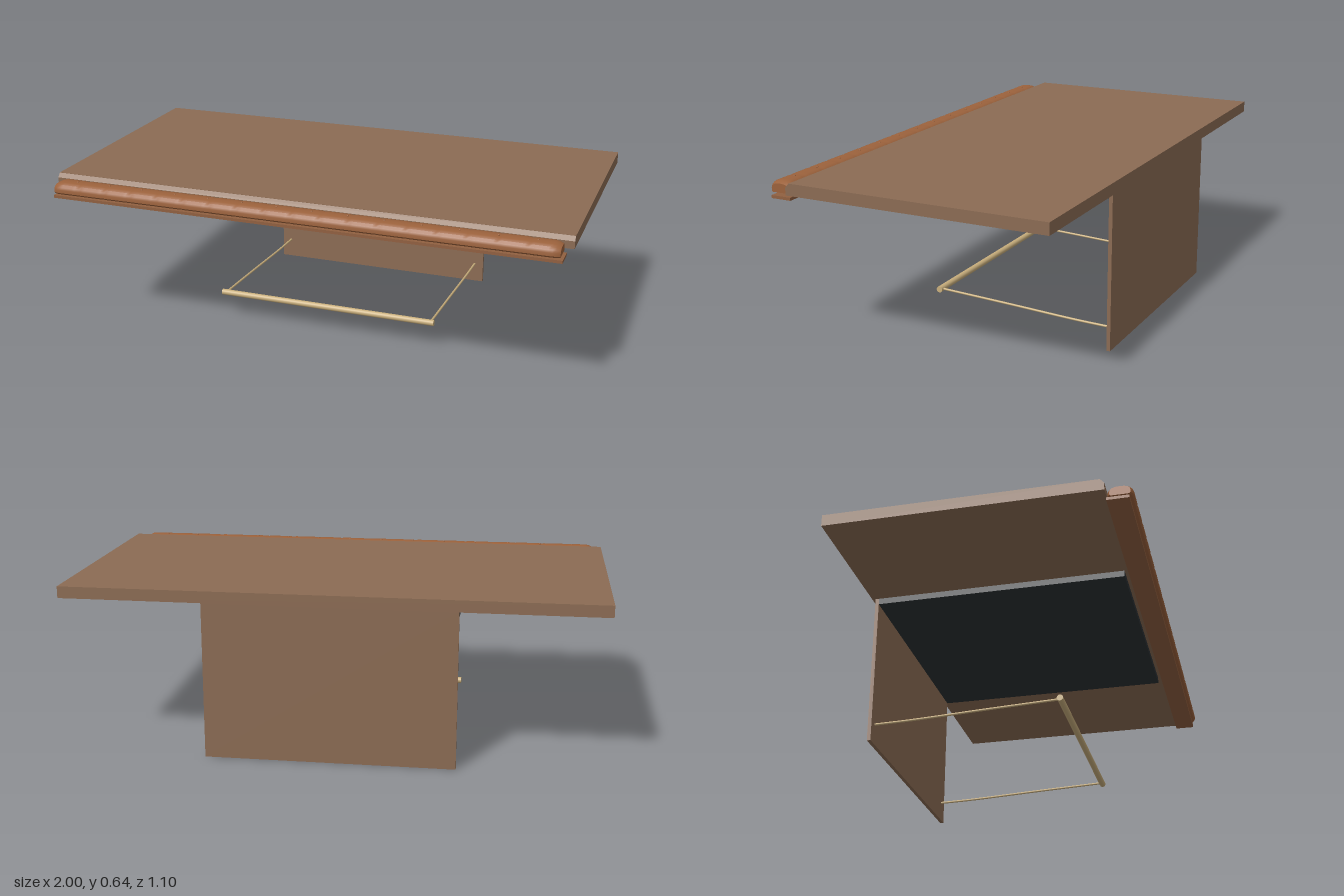
import * as THREE from 'three';
import { toCreasedNormals } from 'three/addons/utils/BufferGeometryUtils.js';

const material = (name, color) => {
  const m = new THREE.MeshStandardMaterial({ color });
  m.name = name;
  return m;
};

export function createModel() {
  const model = new THREE.Group();
  model.name = 'wallCounter';
  const wood = material('wood', 0x8b6b53);
  const leather = material('leather', 0x9c623c);
  const shelfWood = material('warmWood', 0x916040);
  const darkMetal = material('darkMetal', 0x2b3033);
  const brass = material('brass', 0xc8ae7c);

  const add = (name, geometry, mat) => {
    const mesh = new THREE.Mesh(geometry, mat);
    mesh.name = name;
    model.add(mesh);
    return mesh;
  };

  // Box given by its limits
  const box = (name, mat, [x0, x1], [y0, y1], [z0, z1]) => {
    add(name, new THREE.BoxGeometry(x1 - x0, y1 - y0, z1 - z0), mat)
      .position.set((x0 + x1) / 2, (y0 + y1) / 2, (z0 + z1) / 2);
  };

  // Cross-section (points as [z, y]) swept along x, centred
  const sweep = (points, length, steps = 1) => {
    const shape = new THREE.Shape(points.map(([z, y]) => new THREE.Vector2(-z, y)));
    const g = new THREE.ExtrudeGeometry(shape, { depth: length, steps, bevelEnabled: false });
    return g.translate(0, 0, -length / 2).rotateY(Math.PI / 2);
  };

  box('counterTop', wood, [-1, 1], [0.597, 0.641], [-0.547, 0.444]);
  box('underPlate', darkMetal, [-0.467, 0.467], [0.573, 0.597], [-0.52, 0.441]);
  box('backPanel', wood, [-0.467, 0.467], [0.002, 0.597], [-0.534, -0.52]);
  box('armrestSupport', shelfWood, [-0.975, 0.975], [0.571, 0.582], [0.459, 0.538]);

  // Chamfered lip along the front of the top
  add('frontLip', sweep([[0.444, 0.597], [0.458, 0.597], [0.458, 0.625], [0.444, 0.64]], 2), wood);

  // Padded armrest: domed section, pinched at the seams and rounded at the ends
  const length = 1.935, segments = 18, perSegment = 8;
  const half = length / 2;
  const profile = [[-0.041, 0], [0.041, 0], [0.046, 0.006], [0.046, 0.018], [0.043, 0.028], [0.035, 0.036],
    [0.02, 0.041], [0, 0.042], [-0.02, 0.041], [-0.035, 0.036], [-0.043, 0.028], [-0.046, 0.018], [-0.046, 0.006]];
  const pad = sweep(profile, length, segments * perSegment);
  const p = pad.attributes.position;
  for (let i = 0; i < p.count; i++) {
    const x = p.getX(i);
    const t = (x + half) / length * segments;
    const seam = Math.abs(t - Math.round(t)) < 0.01 ? 0.965 : 1;
    const end = Math.max(0, 1 - (half - Math.abs(x)) / 0.03);
    const s = seam * (1 - 0.18 * end * end);
    p.setXYZ(i, x, p.getY(i) * s, p.getZ(i) * s);
  }
  pad.translate(0, 0.592, 0.505);
  add('armrestPad', toCreasedNormals(pad, 0.6), leather);

  // Small buttons along the pad
  const buttonGeometry = new THREE.SphereGeometry(0.005, 10, 6);
  for (let i = 0; i < 14; i++) {
    const button = add('padButton', buttonGeometry, leather);
    button.position.set((i - 6.5) * 0.136, 0.634, 0.505);
    button.scale.y = 0.6;
  }

  // Foot rail on two slightly curved arms
  const rail = add('footRail', new THREE.CylinderGeometry(0.012, 0.012, 0.89, 20), brass);
  rail.rotation.z = Math.PI / 2;
  rail.position.set(0, 0.112, 0.187);
  for (const side of [-1, 1]) {
    const arm = new THREE.CatmullRomCurve3([[0.112, 0.187], [0.098, -0.11], [0.084, -0.38], [0.08, -0.525]]
      .map(([y, z]) => new THREE.Vector3(side * 0.43, y, z)));
    add('railArm', new THREE.TubeGeometry(arm, 16, 0.0045, 10), brass);
  }
  return model;
}
